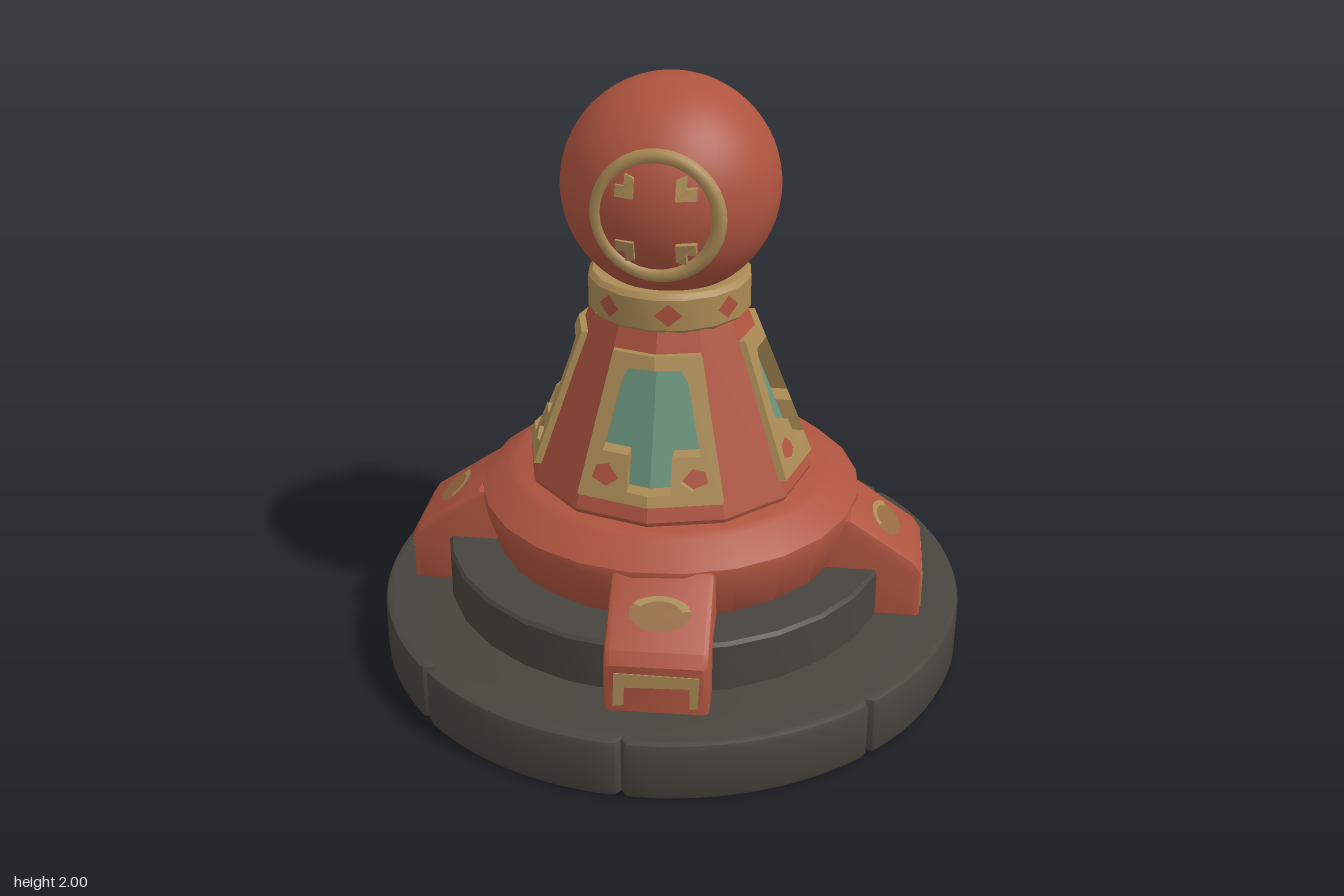
import * as THREE from 'three';
import { toCreasedNormals } from 'three/addons/utils/BufferGeometryUtils.js';

const mat = (name, color) => Object.assign(new THREE.MeshStandardMaterial({ color }), { name });
const RAD = Math.PI / 180;

export function createModel() {
  const red = mat('terracotta', 0xae543f);
  const gold = mat('gold', 0xab8b55);
  const teal = mat('teal', 0x67917a);
  const dark = mat('darkStone', 0x48443e);
  const brown = mat('wornGold', 0x946a40);
  const root = new THREE.Group();

  const add = (parent, name, geo, m, x = 0, y = 0, z = 0) => {
    const mesh = new THREE.Mesh(geo, m);
    mesh.name = name;
    mesh.position.set(x, y, z);
    parent.add(mesh);
    return mesh;
  };
  const group = (parent, name, x = 0, y = 0, z = 0, azimuth = 0) => {
    const g = new THREE.Group();
    g.name = name;
    g.position.set(x, y, z);
    g.rotation.y = azimuth * RAD;
    parent.add(g);
    return g;
  };
  const vecs = pts => pts.map(p => new THREE.Vector2(p[0], p[1]));
  const lathe = (pts, seg, crease = 25, start = 0, len = 360) =>
    toCreasedNormals(new THREE.LatheGeometry(vecs(pts), seg, start * RAD, len * RAD), crease * RAD);
  const extrude = (shape, from, to) =>
    new THREE.ExtrudeGeometry(shape, { depth: to - from, bevelEnabled: false }).translate(0, 0, from);
  // pushes every vertex outwards by a rule of its x and y
  const bend = (geo, rule) => {
    const p = geo.attributes.position;
    for (let i = 0; i < p.count; i++) p.setZ(i, p.getZ(i) + rule(p.getX(i), p.getY(i)));
    geo.computeVertexNormals();
    return geo;
  };

  // bottom slab with six shallow joints in its rim
  const joints = [-5, 42, 128, 177, 222, 317];
  const rim = [];
  for (let a = -8; a < 352; a += 4) {
    const j = joints.find(v => v >= a && v < a + 4);
    rim.push([a, 1]);
    if (j !== undefined) rim.push([a + 1.2, 0.995], [a + 2, 0.975], [a + 2.8, 0.995]);
  }
  const slab = new THREE.ExtrudeGeometry(
    new THREE.Shape(vecs(rim.map(([a, r]) => [r * Math.sin(a * RAD), r * Math.cos(a * RAD)]))),
    { depth: 0.165, bevelSize: 0.02, bevelOffset: -0.02, bevelThickness: 0.02, bevelSegments: 2 });
  slab.rotateX(-Math.PI / 2).translate(0, 0.02, 0);
  add(root, 'baseSlab', toCreasedNormals(slab, 30 * RAD), dark);

  // second step and the red shoulder
  add(root, 'upperStep', lathe([[0, 0.19], [0.765, 0.19], [0.765, 0.365], [0.755, 0.377], [0, 0.377]], 28),
    dark, -0.02, 0, -0.03);
  add(root, 'shoulder', lathe([[0.58, 0.36], [0.605, 0.38], [0.652, 0.54], [0.648, 0.565], [0.56, 0.635],
    [0.53, 0.65], [0, 0.65]], 24, 35), red, -0.012, 0, -0.04);

  // four feet with worn paint
  const feet = [[6, 0.02, -0.055], [95, -0.02, 0.035], [175, 0.0, -0.05], [-86, -0.01, -0.02]];
  const profile = new THREE.Shape(vecs([[0.5, 0.19], [0.885, 0.19], [0.885, 0.37], [0.86, 0.41],
    [0.64, 0.56], [0.5, 0.56]]));
  const footGeo = new THREE.ExtrudeGeometry(profile,
    { depth: 0.29, bevelSize: 0.02, bevelOffset: -0.02, bevelThickness: 0.02, bevelSegments: 2 });
  footGeo.translate(0, 0, -0.145).rotateY(-Math.PI / 2);
  const footSmooth = toCreasedNormals(footGeo, 30 * RAD);
  const uStripe = new THREE.Shape(vecs([[-0.135, 0.225], [-0.1, 0.23], [-0.1, 0.295], [0.105, 0.3],
    [0.105, 0.225], [0.13, 0.23], [0.135, 0.34], [-0.13, 0.345]]));
  for (const [az, x, z] of feet) {
    const foot = group(root, 'foot', x, 0, z, az);
    add(foot, 'footBlock', footSmooth, red);
    add(foot, 'footStripe', extrude(uStripe, 0.88, 0.889), gold);
    const patch = group(foot, 'footPatch', 0, 0.478, 0.757);
    patch.rotation.x = -0.972;
    add(patch, 'wornPatch', new THREE.CircleGeometry(1, 9).scale(0.1, 0.06, 1), brown, 0, 0, 0.007);
    add(patch, 'patchEdge', new THREE.RingGeometry(0.7, 1, 9, 1, 0.2, 2.4).scale(0.1, 0.06, 1), gold, 0, 0, 0.011);
  }

  // twelve-sided neck, open where the four panels sit
  const neck = group(root, 'neck', -0.01, 0, -0.012, 2.5);
  const R = y => 0.49 - 0.4 * (y - 0.65);
  const at = y => [R(y), y];
  const fold = (x, y) => R(y) - 0.268 * Math.abs(x);
  for (let i = 0; i < 4; i++) {
    const side = group(neck, 'neckSide', 0, 0, 0, i * 90);
    add(side, 'neckFacet', lathe([[0.475, 0.64], at(0.665), at(1.23)], 1, 10, 30, 30), red);
    add(side, 'neckFoot', lathe([[0.475, 0.64], at(0.665), at(0.735)], 2, 10, -30, 60), red);
    add(side, 'neckTop', lathe([at(1.15), at(1.23)], 2, 10, -30, 60), red);
    for (const s of [-1, 1]) {
      const half = pts => new THREE.Shape(vecs(pts.map(([x, y]) => [x * s, y])));
      // gold frame with a pierced square in the lower corner
      const frame = half([[0, 0.72], [0.236, 0.72], [0.14, 1.165], [0, 1.165], [0, 1.125], [0.085, 1.12],
        [0.107, 1.085], [0.158, 0.865], [0.07, 0.865], [0.07, 0.755], [0, 0.755]]);
      frame.holes.push(new THREE.Path(vecs([[0.1, 0.79], [0.14, 0.762], [0.19, 0.78], [0.175, 0.82],
        [0.135, 0.83]].map(([x, y]) => [x * s, y]))));
      add(side, 'panelFrame', bend(extrude(frame, -0.045, 0.022), fold), gold);
      add(side, 'cornerInlay', bend(extrude(half([[0.08, 0.74], [0.2, 0.74], [0.195, 0.85], [0.08, 0.85]]),
        -0.004, 0.004), fold), red);
      add(side, 'panelInset', bend(extrude(half([[0, 0.73], [0.21, 0.73], [0.13, 1.15], [0, 1.15]]),
        -0.042, -0.034), fold), teal);
    }
  }

  // collar with red diamonds
  const collar = group(root, 'collar', -0.01, 0, -0.018, 10);
  const band = lathe([[0, 1.222], [0.255, 1.222], [0.27, 1.238], [0.27, 1.34], [0.255, 1.357], [0, 1.357]], 16);
  add(collar, 'collarBand', band, gold).rotation.y = Math.PI / 16;
  for (let i = 0; i < 8; i++) {
    const spot = group(collar, 'collarDiamond', 0, 1.29, 0, i * 45);
    add(spot, 'diamond', new THREE.CircleGeometry(1, 4).scale(0.045, 0.038, 1), red, 0, 0, 0.2685);
  }

  // head ball with a ring emblem front and back
  const ball = 0.354;
  add(root, 'head', new THREE.SphereGeometry(ball, 48, 32), red, -0.003, 1.646, 0);
  for (const [az, x, z] of [[0, 0.015, -0.003], [180, 0.015, -0.022]]) {
    const emblem = group(root, 'emblem', x, 1.637, z, az);
    add(emblem, 'emblemRing', new THREE.TorusGeometry(0.19, 0.024, 8, 40), gold, 0, 0, 0.3);
    for (const sx of [-1, 1]) for (const sy of [-1, 1]) {
      const hook = new THREE.Shape(vecs([[0.065, 0.07], [0.125, 0.07], [0.125, 0.105], [0.095, 0.105],
        [0.095, 0.14], [0.065, 0.13]].map(([a, b]) => [a * sx, b * sy])));
      add(emblem, 'emblemHook', bend(extrude(hook, -0.02, 0.02),
        (a, b) => Math.sqrt(ball * ball - a * a - b * b)), gold);
    }
  }
  return root;
}
